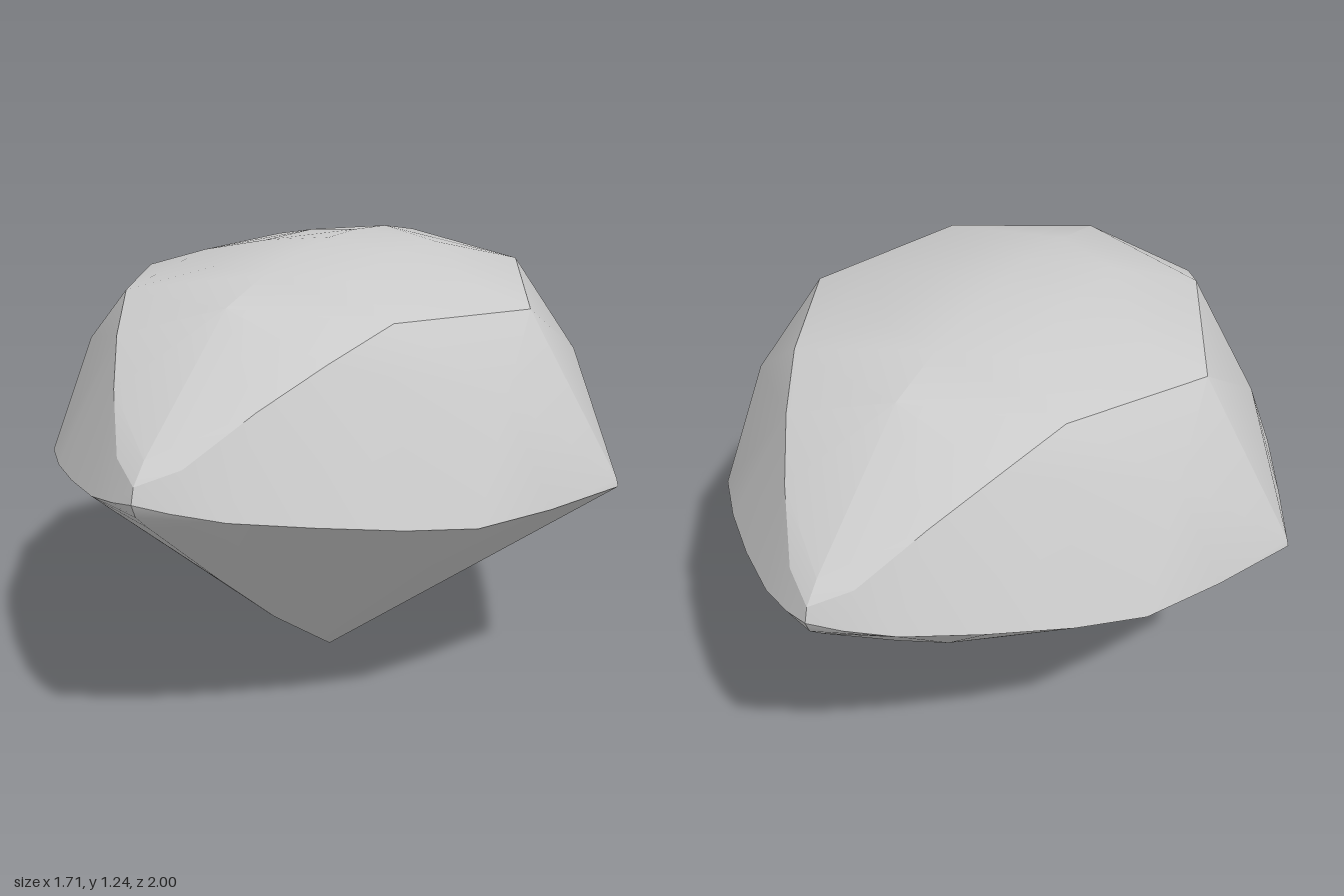
import * as THREE from 'three';
import { ConvexGeometry } from 'three/addons/geometries/ConvexGeometry.js';
import { toCreasedNormals } from 'three/addons/utils/BufferGeometryUtils.js';

// Corner points of one quarter of the cut stone; the rest is mirrored
const pavilion = [[0, 0, 0], [0, 0.235, 0.34], [0, 0.45, 0.61], [0, 0.72, 0.935]];
const girdle = [
  [0.855, 0.655, 0], [0.85, 0.675, 0], [0.75, 0.652, 0.23], [0.64, 0.66, 0.45],
  [0.51, 0.685, 0.6], [0.35, 0.72, 0.757], [0.19, 0.752, 0.893], [0.08, 0.78, 0.963],
  [0, 0.765, 0.985], [0, 0.8, 1], [0, 0.84, 0.988],
];
const crown = [
  [0, 0.89, 0.94], [0.09, 0.875, 0.92], [0.2, 0.985, 0.765],
  [0.3, 1.07, 0.6], [0.63, 0.94, 0.26],
];
const table = [
  [0.59, 1.105, 0], [0.39, 1.14, 0.42], [0, 1.165, 0.56],
  [0.4, 1.168, 0], [0.2, 1.214, 0], [0.2, 1.195, 0.28],
  [0, 1.21, 0.36], [0, 1.234, 0.16], [0, 1.24, 0],
];

// Mirror a quarter's points across both vertical planes
function mirrored(points) {
  const all = new Map();
  for (const [x, y, z] of points) {
    for (const sx of [1, -1]) {
      for (const sz of [1, -1]) {
        const p = new THREE.Vector3(x * sx + 0, y, z * sz + 0);
        all.set(`${p.x},${p.y},${p.z}`, p);
      }
    }
  }
  return [...all.values()];
}

export function createModel() {
  const group = new THREE.Group();
  group.name = 'gemstone';

  // Convex facets with softened shallow edges and a sharp girdle
  const hull = new ConvexGeometry(mirrored([...pavilion, ...girdle, ...crown, ...table]));
  const stone = new THREE.Mesh(
    toCreasedNormals(hull, 0.42),
    new THREE.MeshStandardMaterial({ color: 0xcccccc }),
  );
  stone.name = 'facetedStone';
  group.add(stone);
  return group;
}
